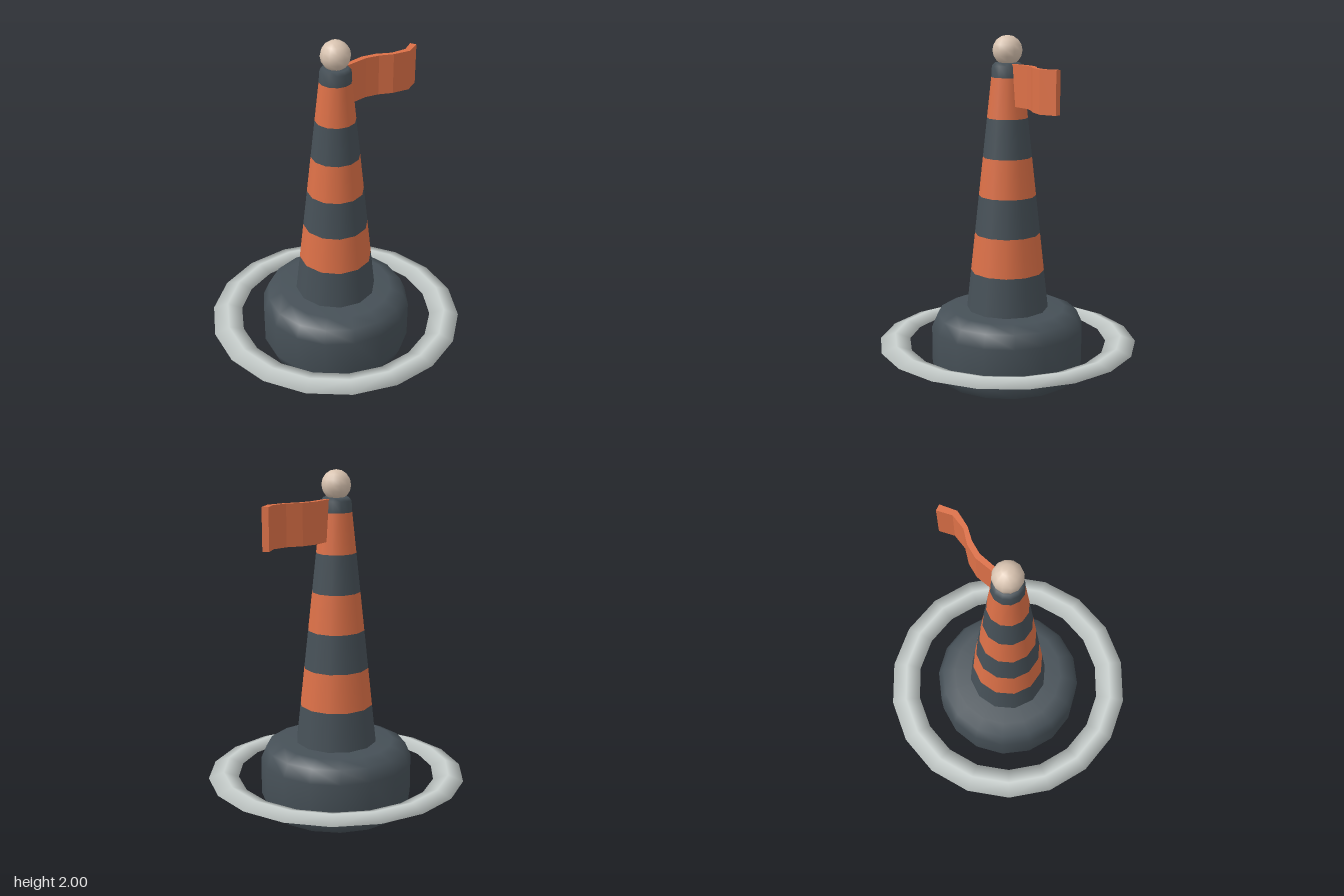
import * as THREE from 'three';

const mat = (name, color, extra = {}) => {
  const m = new THREE.MeshStandardMaterial({ color, ...extra });
  m.name = name;
  return m;
};

export function createModel() {
  const model = new THREE.Group();
  model.name = 'buoy';
  const slate = mat('slate', 0x465057);
  const orange = mat('orange', 0xdc7047);
  const paleGrey = mat('pale grey', 0xcad1cf);
  const cream = mat('cream', 0xd8c3b0);

  const add = (name, geometry, material, y = 0) => {
    const mesh = new THREE.Mesh(geometry, material);
    mesh.name = name;
    mesh.position.y = y;
    model.add(mesh);
    return mesh;
  };
  const lathe = (points, sides) =>
    new THREE.LatheGeometry(points.map(([r, y]) => new THREE.Vector2(r, y)), sides);

  // Rounded float
  add('float', lathe([
    [0, 0], [0.33, 0.003], [0.407, 0.037], [0.44, 0.112],
    [0.44, 0.333], [0.407, 0.408], [0.33, 0.442], [0, 0.445],
  ], 16), slate);

  // Flattened ring around the float
  const ring = new THREE.TorusGeometry(0.66, 0.087, 4, 18);
  ring.rotateX(Math.PI / 2);
  ring.scale(1, 0.38, 1);
  add('ring', ring, paleGrey, 0.237);

  // Tapered tower in alternating bands
  const levels = [0.43, 0.665, 0.885, 1.105, 1.325, 1.545, 1.77];
  const radiusAt = (y) => 0.235 - (y - 0.44) * 0.109;
  for (let i = 0; i < levels.length - 1; i++) {
    const [y0, y1] = [levels[i], levels[i + 1]];
    add('towerBand' + (i + 1),
      new THREE.CylinderGeometry(radiusAt(y1), radiusAt(y0), y1 - y0, 12, 1, true),
      i % 2 ? orange : slate, (y0 + y1) / 2);
  }

  // Tower cap with a small bevel
  add('towerCap', lathe([[0.09, 1.77], [0.086, 1.832], [0.07, 1.85], [0, 1.85]], 12), slate);

  // Ball on top
  add('topBall', new THREE.SphereGeometry(0.083, 12, 8), cream, 1.917);

  // Waving flag: outline seen from above, extruded to the flag height
  const back = [[0.05, -0.012], [0.204, -0.036], [0.288, -0.02], [0.368, 0.022], [0.46, 0.028], [0.536, -0.018]];
  const front = [[0.05, 0.014], [0.21, -0.004], [0.288, 0.012], [0.364, 0.046], [0.464, 0.063], [0.552, 0.016]];
  const outline = new THREE.Shape([...front, ...back.reverse()].map(([x, z]) => new THREE.Vector2(x, -z)));
  const flag = new THREE.ExtrudeGeometry(outline, { depth: 0.23, bevelEnabled: false });
  flag.rotateX(-Math.PI / 2);
  add('flag', flag, orange, 1.615);

  return model;
}
